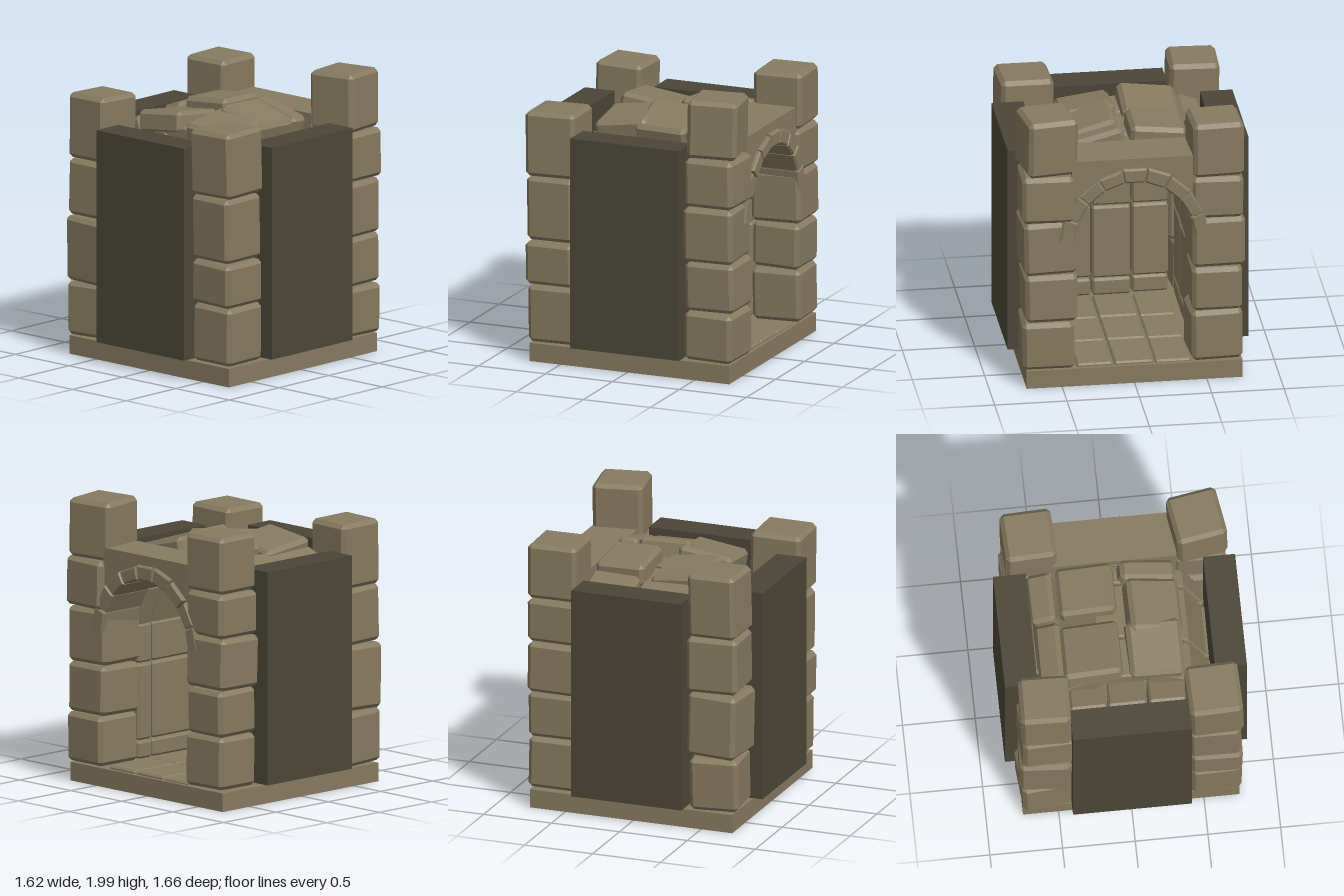
import * as THREE from 'three';
import { ConvexGeometry } from 'three/addons/geometries/ConvexGeometry.js';

export function createModel() {
  const model = new THREE.Group();
  const tan = new THREE.MeshStandardMaterial({ color: 0x867a60 });
  tan.name = 'sandstone';
  const dark = new THREE.MeshStandardMaterial({ color: 0x4b4638 });
  dark.name = 'dark panel';

  let seed = 7;
  const jitter = (a) => {
    seed = (seed * 16807) % 2147483647;
    return (seed / 2147483647 - 0.5) * 2 * a;
  };
  const add = (name, geometry, material) => {
    const mesh = new THREE.Mesh(geometry, material);
    mesh.name = name;
    model.add(mesh);
    return mesh;
  };
  const mid = (r) => (r[0] + r[1]) / 2;

  // Plain box given by its ranges
  const box = (name, x, y, z, material) =>
    add(name, new THREE.BoxGeometry(x[1] - x[0], y[1] - y[0], z[1] - z[0]), material)
      .position.set(mid(x), mid(y), mid(z));

  // Chamfered stone given by its ranges
  const stone = (name, x, y, z, rot = [0, 0, 0], bevel = 0.028) => {
    const h = [x, y, z].map((r) => (r[1] - r[0]) / 2);
    const pts = [];
    for (const sx of [-1, 1]) for (const sy of [-1, 1]) for (const sz of [-1, 1])
      for (let full = 0; full < 3; full++) {
        const p = h.map((v, i) => (i === full ? v : v - bevel));
        pts.push(new THREE.Vector3(p[0] * sx, p[1] * sy, p[2] * sz));
      }
    const mesh = add(name, new ConvexGeometry(pts), tan);
    mesh.position.set(mid(x), mid(y), mid(z));
    mesh.rotation.set(...rot);
  };

  // Base slab and floor tiles
  box('base', [-0.73, 0.76], [0, 0.13], [-0.745, 0.745], tan);
  const tileX = [-0.42, -0.04, 0.34, 0.74], tileZ = [-0.4, -0.14, 0.14, 0.4];
  for (let i = 0; i < 3; i++) for (let j = 0; j < 3; j++)
    stone('floorTile', [tileX[i] + 0.006, tileX[i + 1] - 0.006], [0.09, 0.15 + jitter(0.005)],
      [tileZ[j] + 0.006, tileZ[j + 1] - 0.006], [0, 0, 0], 0.012);

  // Dark panels on the three closed sides
  box('frontPanel', [-0.39, 0.42], [0.15, 1.64], [0.61, 0.83], dark);
  box('backPanel', [-0.39, 0.42], [0.15, 1.64], [-0.835, -0.61], dark);
  box('sidePanel', [-0.82, -0.6], [0.15, 1.64], [-0.41, 0.41], dark);

  // Corner pillars of stacked blocks: centre x, centre z, joint heights, turn of the top block
  const pillars = [
    [0.605, 0.585, [0.14, 0.49, 0.84, 1.23, 1.575, 1.99], 0.16],
    [0.61, -0.575, [0.14, 0.51, 0.835, 1.2, 1.51, 1.91], 0.04],
    [-0.58, 0.585, [0.14, 0.55, 0.86, 1.315, 1.78], 0.03],
    [-0.575, -0.58, [0.14, 0.52, 0.98, 1.38, 1.84], -0.03],
  ];
  for (const [px, pz, ys, turn] of pillars)
    for (let i = 0; i < ys.length - 1; i++) {
      const top = i === ys.length - 2;
      const w = 0.178 + jitter(0.006);
      const cx = px + (top ? 0 : jitter(0.012)), cz = pz + (top ? 0 : jitter(0.012));
      stone('pillarBlock', [cx - w, cx + w], [ys[i] + 0.004, ys[i + 1] - 0.004], [cz - w, cz + w],
        [jitter(0.02), top ? turn : jitter(0.09), jitter(0.025)]);
    }

  // Inner stone walls
  const rows = [0.14, 0.27, 0.81, 1.09];
  const wallZ = [-0.4, -0.14, 0.135, 0.4], wallX = [-0.4, -0.11, 0.28, 0.42];
  for (let c = 0; c < 3; c++) {
    const z = [wallZ[c] + 0.005, wallZ[c + 1] - 0.005];
    const x = [wallX[c] + 0.005, wallX[c + 1] - 0.005];
    for (let r = 0; r < 3; r++) {
      const y = [rows[r] + 0.004, rows[r + 1] - 0.004];
      stone('sideWallStone', [-0.6, -0.42 + jitter(0.01)], y, z, [0, jitter(0.02), 0], 0.015);
      for (const s of [-1, 1])
        stone('wallStone', x, y, s > 0 ? [0.43, 0.6] : [-0.6, -0.43], [0, jitter(0.02), 0], 0.015);
    }
    // upper side wall courses lean inwards
    stone('leaningStone', [-0.59, -0.41], [1.08, 1.28], z, [0, jitter(0.02), -0.12], 0.015);
    stone('leaningStone', [-0.565, -0.37], [1.27, 1.47], z, [jitter(0.03), 0, -0.24], 0.015);
  }

  // Arched course of wedge stones running along x
  const springY = 1.05;
  const onArch = (a, grow) => [Math.cos(a) * (0.42 + grow), springY + Math.sin(a) * (0.46 + grow)];
  const wedgeRing = (name, x0, x1, count, from, inner, outer) => {
    const step = (Math.PI - 2 * from) / count;
    for (let i = 0; i < count; i++) {
      const a0 = from + i * step + 0.012, a1 = from + (i + 1) * step - 0.012;
      const bump = jitter(0.008);
      const pts = [];
      for (const [x, inset] of [[x0, 0.012], [x0 + 0.012, 0], [x1 - 0.012, 0], [x1, 0.012]])
        for (const [a, g] of [[a0 + inset, inner + inset], [a1 - inset, inner + inset],
          [a0 + inset, outer + bump - inset], [a1 - inset, outer + bump - inset]]) {
          const [z, y] = onArch(a, g);
          pts.push(new THREE.Vector3(x, y, z));
        }
      add(name, new ConvexGeometry(pts), tan);
    }
  };
  wedgeRing('archStone', 0.43, 0.785, 9, 0.05, 0, 0.1);
  for (let c = 0; c < 3; c++)
    wedgeRing('vaultStone', wallX[c] + 0.005, wallX[c + 1] - 0.005, 5, 0.06, 0.02, 0.165);

  // Wall above the doorway arch
  const wall = new THREE.Shape();
  wall.moveTo(-0.43, springY);
  wall.lineTo(-0.43, 1.675);
  wall.lineTo(0.43, 1.675);
  wall.lineTo(0.43, springY);
  for (let i = 0; i <= 16; i++) wall.lineTo(...onArch((i / 16) * Math.PI, 0.005));
  const wallGeo = new THREE.ExtrudeGeometry(wall, { depth: 0.32, bevelEnabled: false });
  wallGeo.rotateY(-Math.PI / 2);
  wallGeo.translate(0.755, 0, 0);
  add('archWall', wallGeo, tan);

  // Tilted roof stones
  stone('roofStone', [-0.4, 0.0], [1.55, 1.71], [-0.42, -0.02], [-0.12, 0, -0.12]);
  stone('roofStone', [0.06, 0.41], [1.58, 1.74], [-0.41, -0.02], [-0.1, 0, -0.02]);
  stone('roofStone', [-0.4, -0.01], [1.54, 1.7], [0.02, 0.4], [0.12, 0.03, 0.14]);
  stone('roofStone', [-0.1, 0.28], [1.56, 1.72], [0.04, 0.41], [0.3, 0, -0.03]);
  stone('roofStone', [0.28, 0.42], [1.55, 1.71], [0.01, 0.4], [0.25, 0, 0]);
  stone('roofStone', [-0.37, 0.05], [1.47, 1.63], [-0.58, -0.4], [-0.35, 0, -0.04]);
  stone('roofStone', [0.06, 0.41], [1.48, 1.66], [-0.6, -0.42], [-0.3, 0, 0.03]);

  return model;
}
